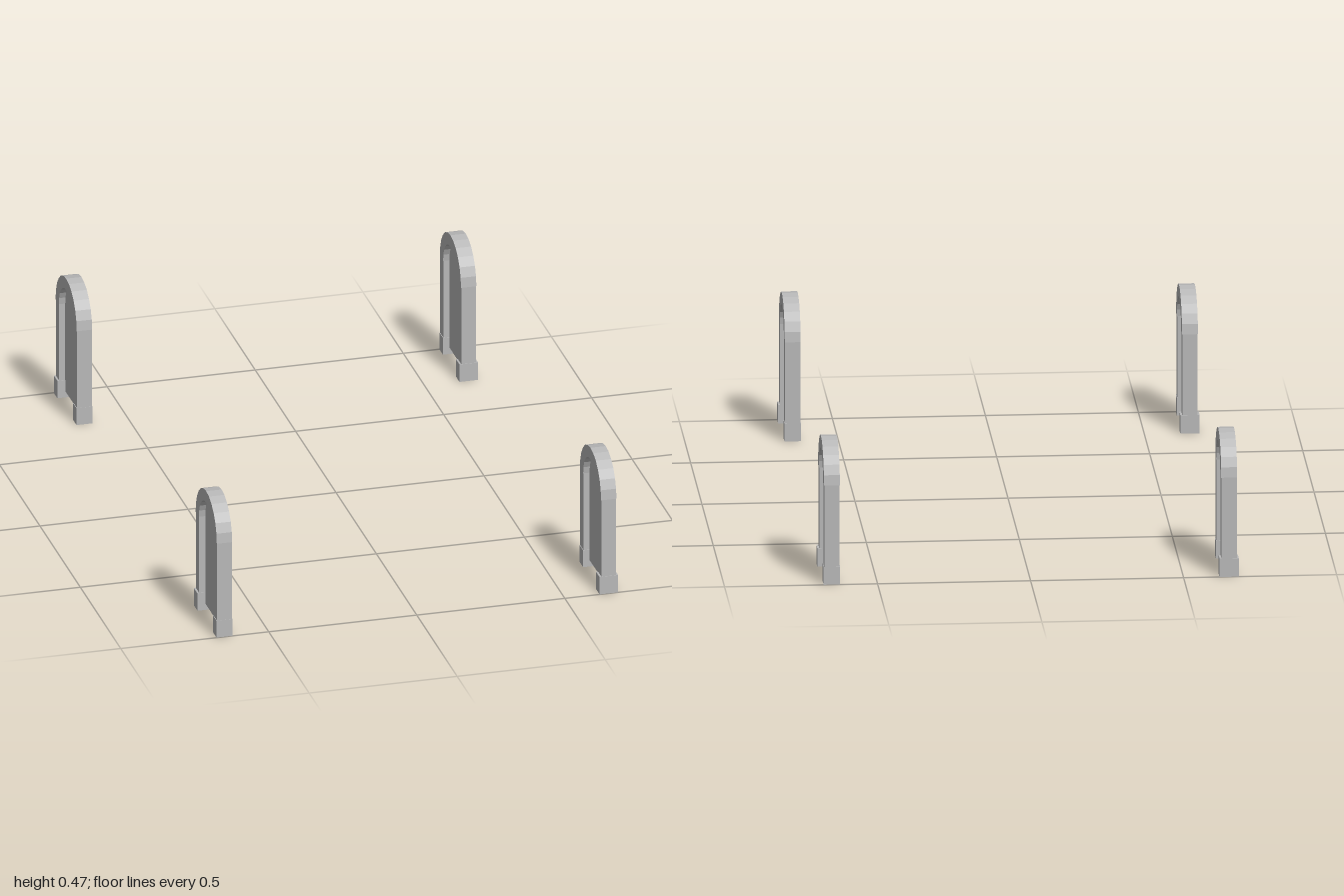
import * as THREE from 'three';

const stone = new THREE.MeshStandardMaterial({ color: 0xb8b8b8, flatShading: true });
stone.name = 'grey stone';

const SPRING = 0.335; // height where the arch starts
const OUTER = 0.131;
const INNER = 0.09;
const SEGMENTS = 12;

function box(name, width, y0, y1, z0, z1) {
  const mesh = new THREE.Mesh(new THREE.BoxGeometry(width, y1 - y0, z1 - z0), stone);
  mesh.position.set(0, (y0 + y1) / 2, (z0 + z1) / 2);
  mesh.name = name;
  return mesh;
}

// Points of a half circle, from the +x end to the -x end
function halfCircle(radius) {
  return Array.from({ length: SEGMENTS + 1 }, (_, i) => {
    const a = (i / SEGMENTS) * Math.PI;
    return new THREE.Vector2(Math.cos(a) * radius, SPRING + Math.sin(a) * radius);
  });
}

// Extrudes an outline so that it lies in the z-y plane, centred on x = 0
function slab(name, points, thickness) {
  const geometry = new THREE.ExtrudeGeometry(new THREE.Shape(points), { depth: thickness, bevelEnabled: false });
  geometry.translate(0, 0, -thickness / 2);
  geometry.rotateY(-Math.PI / 2);
  const mesh = new THREE.Mesh(geometry, stone);
  mesh.name = name;
  return mesh;
}

function createArchway() {
  const group = new THREE.Group();
  group.name = 'archway';

  // Curved head
  group.add(slab('archHead', [...halfCircle(OUTER), ...halfCircle(INNER).reverse()], 0.052));

  // Thin recessed panel filling the opening
  group.add(slab('panel', [
    new THREE.Vector2(-INNER - 0.005, 0.022),
    new THREE.Vector2(INNER + 0.005, 0.022),
    ...halfCircle(INNER + 0.005),
  ], 0.009));

  // Posts on their foot blocks; one foot is broader than the other
  group.add(box('frontPost', 0.05, 0.06, SPRING, INNER, OUTER));
  group.add(box('backPost', 0.05, 0.06, SPRING, -OUTER, -INNER));
  group.add(box('broadFoot', 0.063, 0, 0.062, 0.088, 0.133));
  group.add(box('narrowFoot', 0.054, 0, 0.06, -0.132, -0.088));
  return group;
}

export function createModel() {
  const model = new THREE.Group();
  model.name = 'fourArchways';
  // The pair on the other side is turned by half a turn
  for (const side of [1, -1]) {
    for (const end of [1, -1]) {
      const arch = createArchway();
      arch.position.set(side * 0.649, 0, end * 0.867);
      if (side < 0) arch.rotation.y = Math.PI;
      model.add(arch);
    }
  }
  return model;
}
